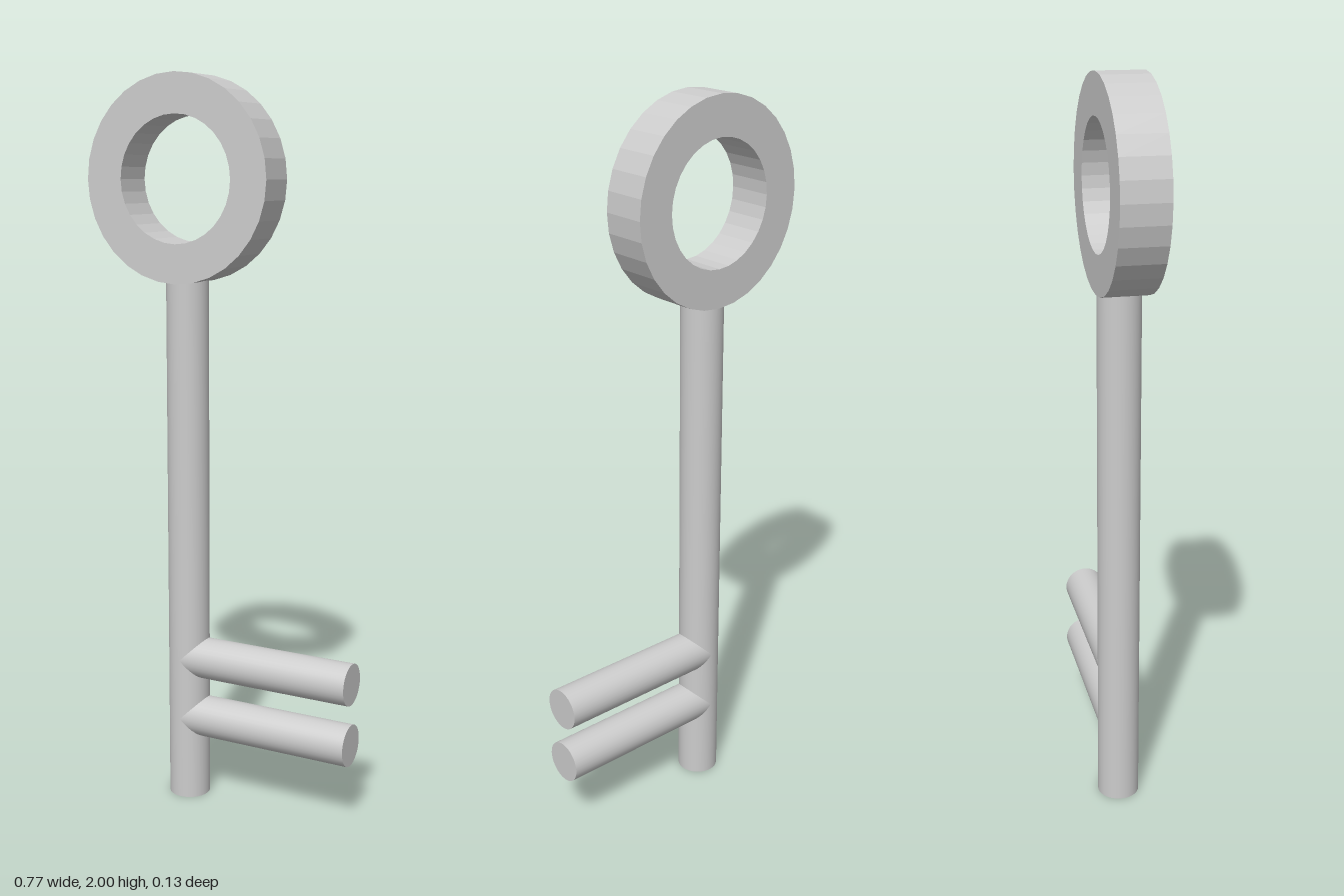
import * as THREE from 'three';

export function createModel() {
  const key = new THREE.Group();
  key.name = 'key';

  const metal = new THREE.MeshStandardMaterial({ color: 0xcccccc });
  metal.name = 'grey metal';
  // faceted sides of the ring
  const facetedMetal = metal.clone();
  facetedMetal.flatShading = true;
  facetedMetal.name = 'grey metal faceted';

  const rodRadius = 0.0575;
  const rodX = -0.114;
  const rodZ = -0.003;

  function addRod(name, length, x, y) {
    const rod = new THREE.Mesh(new THREE.CylinderGeometry(rodRadius, rodRadius, length, 32), metal);
    rod.name = name;
    rod.position.set(x, y, rodZ);
    key.add(rod);
    return rod;
  }

  // Upright shaft, ending inside the ring wall
  const shaftTop = 1.48;
  addRod('shaft', shaftTop, rodX, shaftTop / 2);

  // Two teeth, starting at the shaft axis
  const toothEnd = 0.383;
  [['upperTooth', 0.407], ['lowerTooth', 0.234]].forEach(([name, y]) => {
    const tooth = addRod(name, toothEnd - rodX, (toothEnd + rodX) / 2, y);
    tooth.rotation.z = -Math.PI / 2;
  });

  // Handle ring: square section, slightly taller than wide, turned a touch
  const outer = 0.272, inner = 0.167, half = 0.0625;
  const section = [[inner, -half], [outer, -half], [outer, half], [inner, half], [inner, -half]]
    .map(([r, h]) => new THREE.Vector2(r, h));
  const ringGeometry = new THREE.LatheGeometry(section, 32);
  ringGeometry.rotateX(Math.PI / 2);
  ringGeometry.scale(0.976, 1, 1);
  const ring = new THREE.Mesh(ringGeometry, facetedMetal);
  ring.name = 'handleRing';
  ring.position.set(-0.117, 1.728, -0.002);
  ring.rotation.y = 0.016;
  key.add(ring);

  return key;
}
